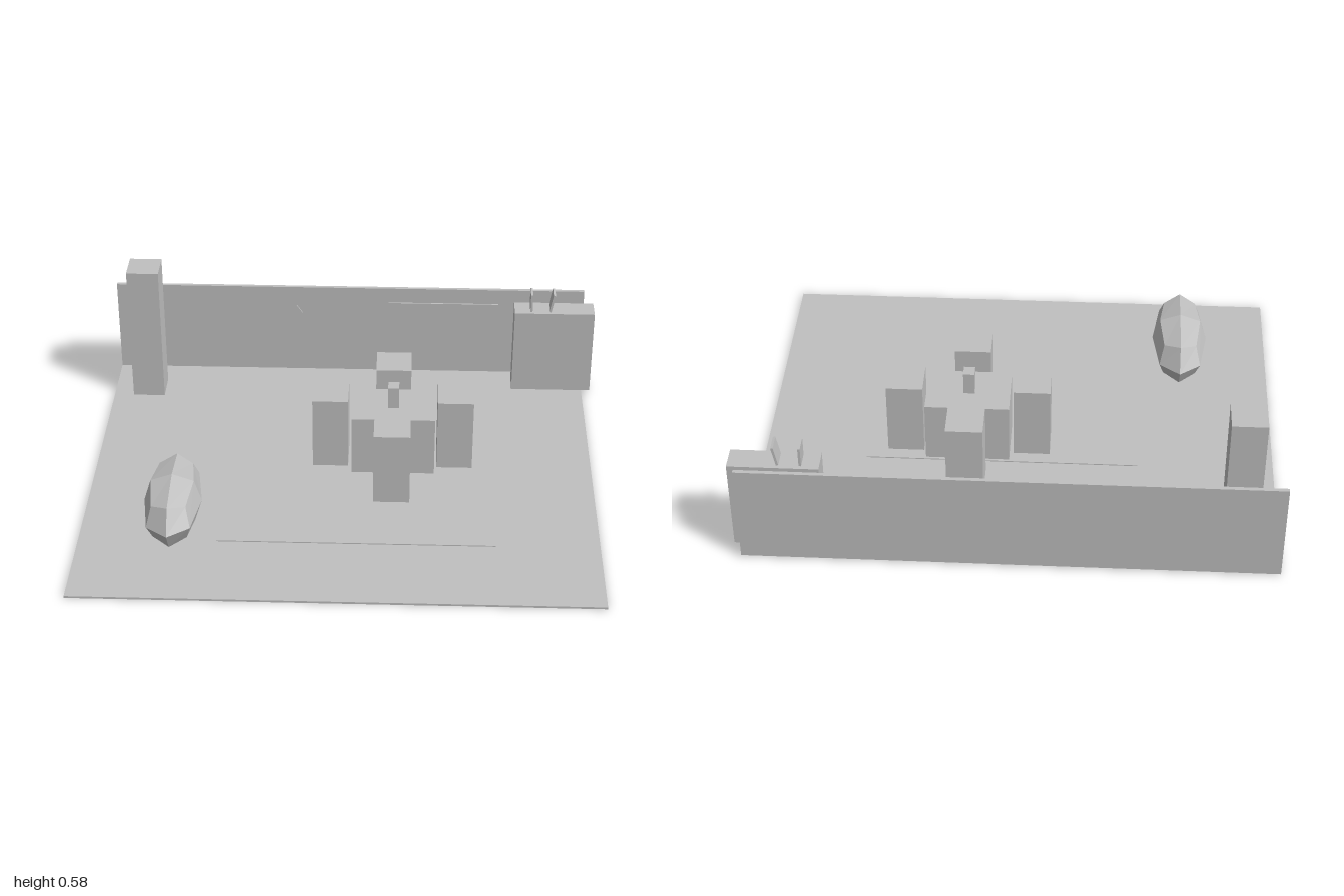
import * as THREE from 'three';

export function createModel() {
  const model = new THREE.Group();
  const grey = new THREE.MeshStandardMaterial({ color: 0xc0c0c0 });
  grey.name = 'plain grey';

  // Box given by its extents on each axis
  function box(name, [x0, x1], [y0, y1], [z0, z1], tilt = 0) {
    const mesh = new THREE.Mesh(new THREE.BoxGeometry(x1 - x0, y1 - y0, z1 - z0), grey);
    mesh.name = name;
    mesh.position.set((x0 + x1) / 2, (y0 + y1) / 2, (z0 + z1) / 2);
    mesh.rotation.z = tilt;
    model.add(mesh);
    return mesh;
  }

  const ground = 0.008;

  // Room shell
  box('floor', [-1, 0.965], [0, ground], [-0.815, 0.827]);
  box('backWall', [-1, 0.965], [ground, 0.403], [-0.827, -0.812]);
  box('rug', [-0.48, 0.57], [ground, 0.012], [-0.25, 0.47]);

  // Tall corner cabinet
  box('tallCabinet', [-0.92, -0.79], [ground, 0.584], [-0.7, -0.57]);

  // Table with a vase and four stools around it
  box('table', [0.015, 0.34], [ground, 0.258], [-0.24, -0.01]);
  box('vase', [0.155, 0.198], [0.258, 0.348], [-0.147, -0.098]);
  for (const [x, z] of [[-0.07, -0.127], [0.42, -0.127], [0.175, -0.372], [0.175, 0.122]]) {
    box('stool', [x - 0.07, x + 0.07], [ground, 0.309], [z - 0.072, z + 0.072]);
  }

  // Sideboard with two upright books, one leaning
  box('sideboard', [0.668, 1], [ground + 0.002, 0.375], [-0.762, -0.667]);
  box('uprightBook', [0.732, 0.741], [0.375, 0.453], [-0.747, -0.68]);
  box('leaningBook', [0.821, 0.83], [0.375, 0.453], [-0.747, -0.68], -0.19);

  // Wall panel and clock hand in front of the wall
  box('wallPanel', [0.145, 0.605], [0.145, 0.344], [-0.8, -0.794]);
  box('clockHand', [-0.233, -0.227], [0.287, 0.331], [-0.792, -0.787], 0.61);

  // Faceted cushion: a 2x2x2 cube rounded by pulling in its edges and corners
  const rounded = new THREE.BoxGeometry(2, 2, 2, 2, 2, 2);
  const p = rounded.attributes.position;
  const pull = [1, 1, 0.75, 0.59];
  for (let i = 0; i < p.count; i++) {
    const v = new THREE.Vector3().fromBufferAttribute(p, i);
    const extremes = v.toArray().filter((c) => Math.abs(c) > 0.5).length;
    v.multiplyScalar(pull[extremes]);
    p.setXYZ(i, v.x * 0.108, v.y * 0.115, v.z * 0.246);
  }
  const faceted = rounded.toNonIndexed();
  faceted.computeVertexNormals();
  const cushion = new THREE.Mesh(faceted, grey);
  cushion.name = 'facetedCushion';
  cushion.position.set(-0.642, 0.148, 0.402);
  model.add(cushion);

  return model;
}
